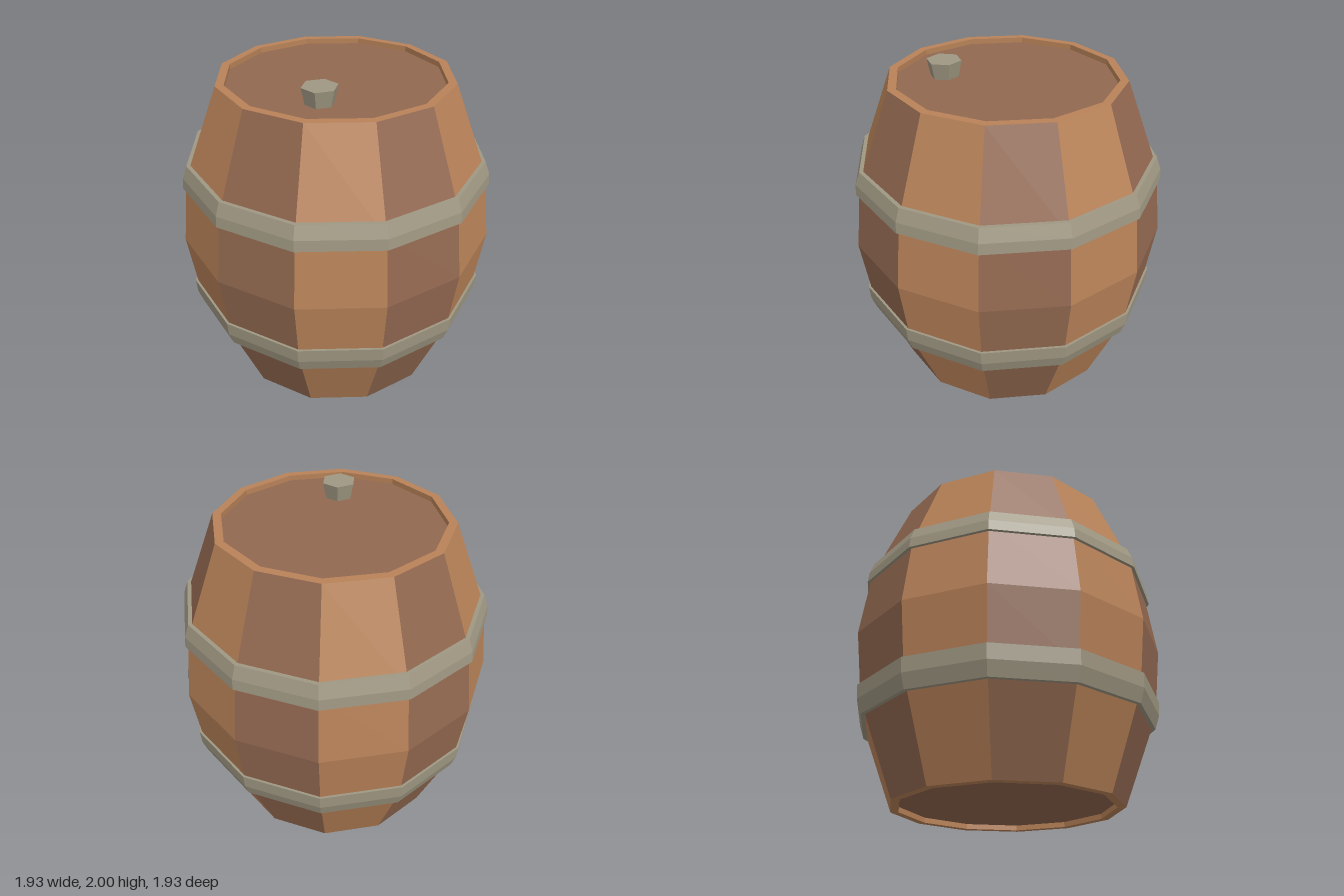
import * as THREE from 'three';

const SIDES = 12;
const HEIGHT = 1.935;
const MID = HEIGHT / 2;
const END_R = 0.697;    // outer radius at both ends
const INNER_R = 0.647;  // radius of the recessed heads
const RECESS = 0.032;

const paint = (color) => new THREE.MeshStandardMaterial({ color, flatShading: true });
const points = (list) => list.map(([r, y]) => new THREE.Vector2(r, y));

function addMesh(parent, name, geometry, material) {
  const mesh = new THREE.Mesh(geometry, material);
  mesh.name = name;
  parent.add(mesh);
  return mesh;
}

export function createModel() {
  const model = new THREE.Group();
  model.name = 'barrel';
  const lightWood = paint(0xb88258);
  const darkWood = paint(0x926850);
  const metal = paint(0x9f9782);

  // Staves: one bulging strip per side, in alternating woods
  const staves = new THREE.Group();
  staves.name = 'staves';
  model.add(staves);
  const profile = points([
    [END_R, 0], [0.914, 0.55], [0.967, MID], [0.914, HEIGHT - 0.55], [END_R, HEIGHT],
  ]);
  const step = (Math.PI * 2) / SIDES;
  for (let i = 0; i < SIDES; i++) {
    addMesh(staves, `stave${i + 1}`,
      new THREE.LatheGeometry(profile, 1, i * step, step), i % 2 ? darkWood : lightWood);
  }

  // Ends: a rim with its inner wall, and a recessed flat head
  for (const top of [true, false]) {
    const prefix = top ? 'top' : 'bottom';
    const rim = top
      ? [[END_R, HEIGHT], [INNER_R, HEIGHT], [INNER_R, HEIGHT - RECESS]]
      : [[INNER_R, RECESS], [INNER_R, 0], [END_R, 0]];
    addMesh(model, `${prefix}Rim`, new THREE.LatheGeometry(points(rim), SIDES), lightWood);
    const head = addMesh(model, `${prefix}Head`, new THREE.CircleGeometry(INNER_R, SIDES), darkWood);
    head.rotation.x = top ? -Math.PI / 2 : Math.PI / 2;
    head.position.y = top ? HEIGHT - RECESS : RECESS;
  }

  // Hoops: closed bands that follow the bend of the staves
  const upper = [[0.885, 1.325], [0.94, 1.325], [0.934, 1.39], [0.905, 1.468], [0.88, 1.468], [0.885, 1.325]];
  const lower = [[0.88, 0.465], [0.905, 0.465], [0.934, 0.55], [0.94, 0.638], [0.885, 0.638], [0.88, 0.465]];
  addMesh(model, 'upperHoop', new THREE.LatheGeometry(points(upper), SIDES), metal);
  addMesh(model, 'lowerHoop', new THREE.LatheGeometry(points(lower), SIDES), metal);

  // Bung: tapered hexagonal plug near the front of the top head
  const bungHeight = 2 - (HEIGHT - RECESS);
  const bung = addMesh(model, 'bung', new THREE.CylinderGeometry(0.104, 0.084, bungHeight, 6), metal);
  bung.position.set(0, 2 - bungHeight / 2, 0.367);

  return model;
}
